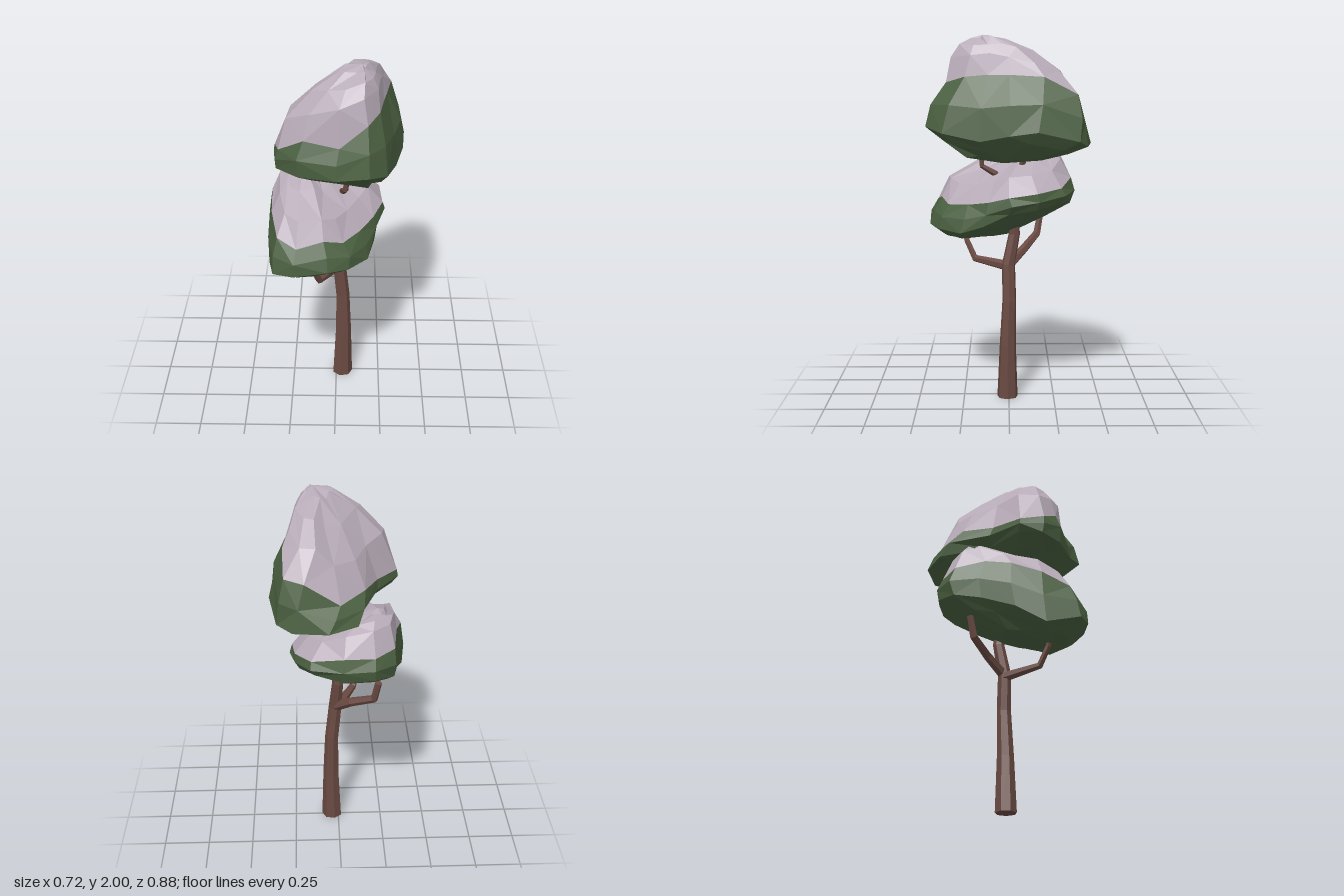
import * as THREE from 'three';

const green = new THREE.MeshStandardMaterial({ color: 0x4a6040 });
green.name = 'leaf green';
const snow = new THREE.MeshStandardMaterial({ color: 0xb7abb8 });
snow.name = 'pale snow';
const bark = new THREE.MeshStandardMaterial({ color: 0x6a4a42 });
bark.name = 'bark brown';

const V = (x, y, z) => new THREE.Vector3(x, y, z);

// Seeded random in -1..1
function makeRandom(seed) {
  return () => {
    seed = (seed * 16807) % 2147483647;
    return (seed / 2147483647) * 2 - 1;
  };
}

// Faceted skin over closed rings, listed from bottom to top
function loft(rings, material, name) {
  const pos = [];
  const area = new THREE.Triangle();
  const tri = (a, b, c) => {
    if (area.set(a, b, c).getArea() > 1e-8) [a, b, c].forEach(p => pos.push(p.x, p.y, p.z));
  };
  for (let i = 0; i < rings.length - 1; i++) {
    const n = rings[i].length;
    for (let j = 0; j < n; j++) {
      const k = (j + 1) % n;
      const a = rings[i][j], b = rings[i][k], c = rings[i + 1][k], d = rings[i + 1][j];
      if ((i + j) % 2) { tri(a, d, c); tri(a, c, b); }
      else { tri(a, d, b); tri(b, d, c); }
    }
  }
  const geo = new THREE.BufferGeometry();
  geo.setAttribute('position', new THREE.Float32BufferAttribute(pos, 3));
  geo.computeVertexNormals();
  const mesh = new THREE.Mesh(geo, material);
  mesh.name = name;
  return mesh;
}

// Tapered, bent limb through [x, y, z, radius] points
function limb(name, points, sides) {
  const centres = points.map(p => V(p[0], p[1], p[2]));
  const rings = centres.map((c, i) => {
    const dir = centres[Math.min(i + 1, centres.length - 1)].clone()
      .sub(centres[Math.max(i - 1, 0)]).normalize();
    if (c.y === 0) dir.set(0, 1, 0);
    const q = new THREE.Quaternion().setFromUnitVectors(V(0, 1, 0), dir);
    return Array.from({ length: sides }, (_, j) => {
      const t = (j / sides) * Math.PI * 2;
      return V(Math.cos(t), 0, Math.sin(t)).multiplyScalar(points[i][3]).applyQuaternion(q).add(c);
    });
  });
  const cap = c => Array(sides).fill(c);
  return loft([cap(centres[0]), ...rings, cap(centres[centres.length - 1])], bark, name);
}

// Leafy clump: rim, snow line and shoulder outlines, closed toward a low point and a peak
function clump(name, { rim, line, shoulder, low, peak, power, seed }) {
  const rnd = makeRandom(seed);
  const [rimRing, lineRing, shoulderRing] = [rim, line, shoulder].map(ring => ring.map(p => V(...p)));
  const toward = (ring, end, t, f, lump) => ring.map(p => V(
    THREE.MathUtils.lerp(p.x, end.x, t) + rnd() * lump,
    THREE.MathUtils.lerp(p.y, end.y, f) + rnd() * lump,
    THREE.MathUtils.lerp(p.z, end.z, t) + rnd() * lump));
  const bottom = [0.55, 0.22].map(t => toward(rimRing, low, t, 1 - (1 - t) ** 2, 0.01));
  const middle = rimRing.map((p, i) => {
    const m = p.clone().lerp(lineRing[i], 0.5);
    const out = V(m.x - low.x, 0, m.z - low.z).normalize();
    return m.addScaledVector(out, 0.019 + rnd() * 0.01);
  });
  const crown = [0.35, 0.7].map(t => toward(shoulderRing, peak, t, 1 - (1 - t) ** power, 0.012));
  const point = p => rim.map(() => p);
  const group = new THREE.Group();
  group.name = name;
  group.add(
    loft([point(low), ...bottom, rimRing, middle, lineRing], green, name + 'Leaves'),
    loft([lineRing, shoulderRing, ...crown, point(peak)], snow, name + 'Snow'));
  return group;
}

export function createModel() {
  const tree = new THREE.Group();
  tree.name = 'snowyTree';

  // Trunk and branches
  tree.add(
    limb('trunk', [[0.036, 0, 0.008, 0.058], [0.04, 0.3, 0.006, 0.046], [0.036, 0.55, -0.002, 0.039],
      [0.016, 0.75, 0.002, 0.037], [0.003, 0.92, -0.03, 0.032], [0.01, 1.2, -0.01, 0.028]], 7),
    limb('frontBranch', [[0.01, 0.74, 0, 0.03], [-0.09, 0.765, 0.19, 0.02],
      [-0.12, 0.86, 0.235, 0.017], [-0.15, 0.97, 0.26, 0.014]], 6),
    limb('backBranch', [[0.01, 0.76, -0.01, 0.03], [-0.07, 0.83, -0.09, 0.025],
      [-0.19, 0.89, -0.16, 0.022], [-0.21, 1.0, -0.18, 0.019]], 6),
    limb('upperFrontBranch', [[0.01, 1.2, 0, 0.02], [0.035, 1.26, 0.08, 0.018],
      [0.05, 1.3, 0.145, 0.015], [0.07, 1.45, 0.16, 0.012]], 6),
    limb('upperBackBranch', [[0.01, 1.15, 0, 0.024], [0.05, 1.3, -0.07, 0.02], [0.09, 1.45, -0.1, 0.016]], 6));

  // Lower clump, sinking toward the front
  tree.add(clump('lowerClump', {
    rim: [[-0.18, 1.11, -0.35], [-0.02, 1.09, -0.335], [0.13, 1.11, -0.28], [0.21, 1.08, -0.15],
      [0.23, 1.06, 0], [0.205, 0.99, 0.14], [0.17, 0.95, 0.26], [0.07, 0.96, 0.38], [-0.04, 0.97, 0.435],
      [-0.22, 0.95, 0.445], [-0.325, 0.94, 0.4], [-0.355, 0.9, 0.22], [-0.355, 0.99, 0.06],
      [-0.31, 1.06, -0.12], [-0.285, 1.09, -0.265]],
    line: [[-0.18, 1.23, -0.335], [-0.02, 1.23, -0.34], [0.15, 1.19, -0.28], [0.235, 1.17, -0.15],
      [0.25, 1.15, 0], [0.2, 1.12, 0.11], [0.13, 1.1, 0.22], [0.04, 1.09, 0.33], [-0.06, 1.12, 0.37],
      [-0.2, 1.09, 0.4], [-0.3, 1.13, 0.35], [-0.335, 1.2, 0.2], [-0.34, 1.25, 0.04],
      [-0.305, 1.28, -0.1], [-0.285, 1.25, -0.26]],
    shoulder: [[-0.17, 1.36, -0.28], [-0.03, 1.33, -0.28], [0.09, 1.28, -0.23], [0.16, 1.26, -0.12],
      [0.17, 1.25, 0], [0.12, 1.22, 0.08], [0.06, 1.2, 0.18], [0, 1.2, 0.27], [-0.07, 1.22, 0.32],
      [-0.19, 1.22, 0.335], [-0.26, 1.24, 0.29], [-0.29, 1.3, 0.18], [-0.3, 1.33, 0.0],
      [-0.28, 1.38, -0.13], [-0.26, 1.37, -0.22]],
    low: V(-0.17, 0.87, 0.26), peak: V(-0.2, 1.43, -0.15), power: 1.15, seed: 71,
  }));

  // Upper clump, with snow reaching lowest at the back of its right side
  tree.add(clump('upperClump', {
    rim: [[0.06, 1.425, -0.44], [0.24, 1.42, -0.41], [0.32, 1.45, -0.365], [0.36, 1.5, -0.15],
      [0.35, 1.48, 0], [0.31, 1.45, 0.15], [0.26, 1.49, 0.35], [0.17, 1.52, 0.44], [0, 1.47, 0.375],
      [-0.19, 1.46, 0.31], [-0.305, 1.46, 0.21], [-0.29, 1.47, 0.08], [-0.15, 1.45, -0.08],
      [-0.09, 1.43, -0.36]],
    line: [[0, 1.54, -0.35], [0.18, 1.66, -0.36], [0.28, 1.69, -0.355], [0.285, 1.78, -0.18],
      [0.26, 1.79, 0], [0.24, 1.79, 0.11], [0.22, 1.78, 0.23], [0.16, 1.75, 0.33], [0.02, 1.63, 0.335],
      [-0.16, 1.65, 0.29], [-0.29, 1.57, 0.22], [-0.315, 1.54, 0.09], [-0.2, 1.55, -0.06],
      [-0.13, 1.57, -0.23]],
    shoulder: [[0.03, 1.72, -0.27], [0.12, 1.81, -0.27], [0.2, 1.81, -0.26], [0.25, 1.85, -0.13],
      [0.235, 1.88, 0], [0.22, 1.9, 0.1], [0.21, 1.89, 0.2], [0.14, 1.88, 0.305], [0.02, 1.83, 0.315],
      [-0.13, 1.78, 0.265], [-0.25, 1.73, 0.195], [-0.23, 1.75, 0.08], [-0.14, 1.73, -0.04],
      [-0.08, 1.71, -0.18]],
    low: V(0.15, 1.325, 0.03), peak: V(0.13, 1.995, 0.14), power: 1.9, seed: 29,
  }));

  return tree;
}
